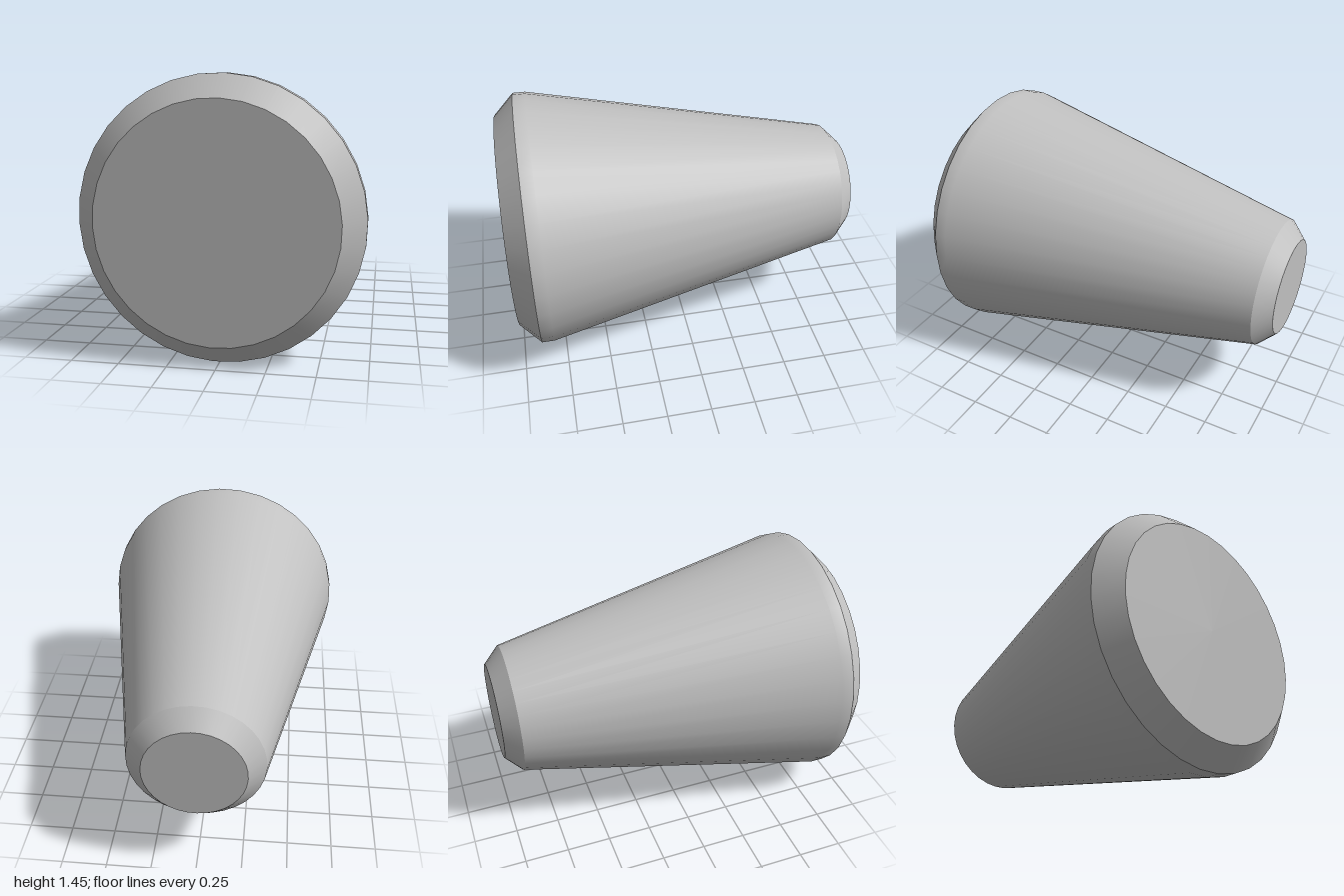
import * as THREE from 'three';

export function createModel() {
  const model = new THREE.Group();
  model.name = 'taperedPlug';
  const grey = new THREE.MeshStandardMaterial({ color: 0xc0c0c0 });
  grey.name = 'plainGrey';

  const sides = 34;
  const step = (Math.PI * 2) / sides;
  const axisHeight = 0.727;

  // Each part is a smooth lathe of [radius, z] points; edges between parts stay sharp.
  const addPart = (name, profile) => {
    const points = profile.map(([r, z]) => new THREE.Vector2(r, z));
    const geometry = new THREE.LatheGeometry(points, sides, Math.PI / 2 + step / 4);
    geometry.rotateX(Math.PI / 2);
    geometry.translate(0, axisHeight, 0);
    const mesh = new THREE.Mesh(geometry, grey);
    mesh.name = name;
    model.add(mesh);
  };

  addPart('backCap', [[0, -1], [0.272, -1]]);
  addPart('backBevel', [[0.272, -1], [0.363, -0.91]]);
  // Cone that blends softly into a short straight rim
  addPart('taperedBody', [[0.363, -0.91], [0.727, 0.815], [0.727, 0.885]]);
  addPart('frontBevel', [[0.727, 0.885], [0.612, 1]]);
  addPart('frontCap', [[0.612, 1], [0, 1]]);

  return model;
}
